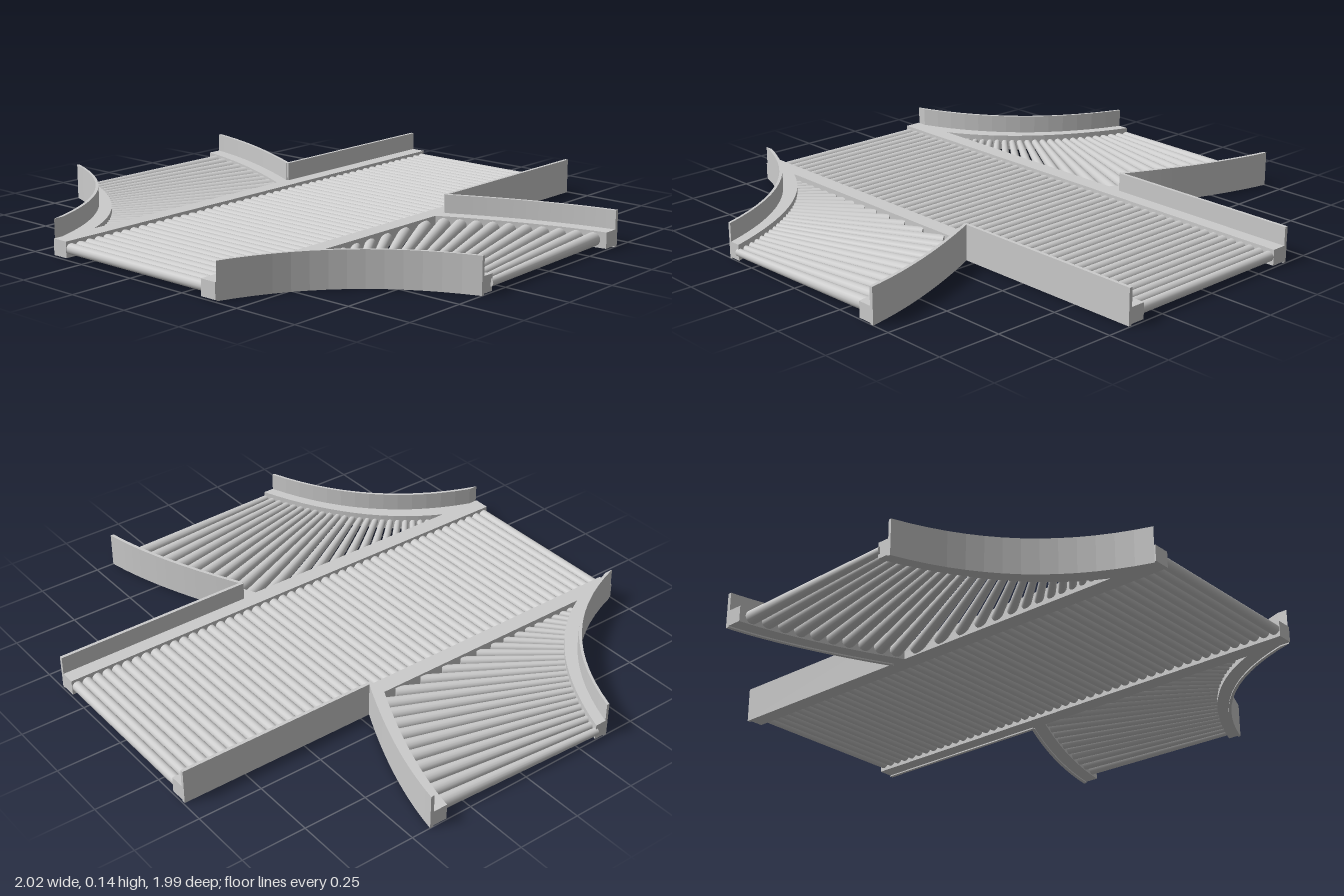
import * as THREE from 'three';

const material = new THREE.MeshStandardMaterial({ color: 0xcccccc });
const RAIL_BASE = 0.005, RAIL_TOP = 0.065, WALL_TOP = 0.135, ROLLER_Y = 0.034;
const HALF_LENGTH = 0.995, RAIL_IN = 0.335, RAIL_OUT = 0.4;

function add(parent, name, geometry) {
  const mesh = new THREE.Mesh(geometry, material);
  mesh.name = name;
  parent.add(mesh);
  return mesh;
}

// box from its minimum and maximum corners
function box(parent, name, x0, x1, y0, y1, z0, z1) {
  add(parent, name, new THREE.BoxGeometry(Math.abs(x1 - x0), y1 - y0, z1 - z0))
    .position.set((x0 + x1) / 2, (y0 + y1) / 2, (z0 + z1) / 2);
}

// sampled curve in plan; each point is (x, z)
function plan(...p) {
  const [a, b, c] = p.map(([x, z]) => new THREE.Vector2(x, z));
  return new THREE.QuadraticBezierCurve(a, b, c).getPoints(14);
}

// z of a sampled curve at a given x
function zAt(points, x) {
  let i = 1;
  while (i < points.length - 1 && points[i].x < x) i++;
  const a = points[i - 1], b = points[i];
  return THREE.MathUtils.mapLinear(x, a.x, b.x, a.y, b.y);
}

// upright band between two plan curves
function band(parent, name, side, outer, inner, y0, y1) {
  const outline = [...outer, ...[...inner].reverse()].map(p => new THREE.Vector2(side * p.x, -p.y));
  const geometry = new THREE.ExtrudeGeometry(new THREE.Shape(outline), { depth: y1 - y0, bevelEnabled: false });
  geometry.rotateX(-Math.PI / 2).translate(0, y0, 0);
  add(parent, name, geometry);
}

// cylinder or cone between two points
function roller(parent, name, from, to, r0, r1) {
  const dir = to.clone().sub(from);
  const mesh = add(parent, name, new THREE.CylinderGeometry(r1, r0, dir.length(), 16));
  mesh.position.copy(from).add(to).multiplyScalar(0.5);
  mesh.quaternion.setFromUnitVectors(new THREE.Vector3(0, 1, 0), dir.normalize());
}

const frontOuter = plan([0.4, 0.99], [0.547, 0.539], [1, 0.38]);
const frontInner = plan([0.4, 0.81], [0.56, 0.487], [1, 0.325]);
const backOuter = plan([0.4, -0.21], [0.74, -0.38], [1, -0.425]);
const backInner = plan([0.4, -0.14], [0.74, -0.31], [1, -0.355]);
const between = (a, b, t) => a.map((p, i) => p.clone().lerp(b[i], t));

// curved side branch with tapered rollers fanning around a common centre
function branch(side) {
  const group = new THREE.Group();
  group.name = side > 0 ? 'leftBranch' : 'rightBranch';
  band(group, 'frontCurvedRail', side, frontOuter, frontInner, RAIL_BASE, RAIL_TOP);
  band(group, 'backCurvedRail', side, backOuter, backInner, RAIL_BASE, RAIL_TOP);
  band(group, 'frontCurvedGuard', side, frontOuter, between(frontOuter, frontInner, 0.2), 0, WALL_TOP);
  band(group, 'backCurvedGuard', side, backOuter, between(backOuter, backInner, 0.2), 0, WALL_TOP);

  const cx = 1.05, cz = 1.17, count = 24, taper = 0.017;
  for (let i = 0; i < count; i++) {
    const angle = THREE.MathUtils.lerp(0.065, 1.02, i / (count - 1));
    const at = d => [cx - d * Math.sin(angle), cz - d * Math.cos(angle)];
    // march outwards from the front rail to the back rail or main rail
    let start = 0.5, end;
    for (; start < 2; start += 0.002) {
      const [x, z] = at(start);
      if (z < zAt(frontInner, x)) break;
    }
    for (end = start; end < 2; end += 0.002) {
      const [x, z] = at(end);
      if (x < RAIL_OUT || z < zAt(backInner, x)) break;
    }
    start -= 0.008;
    end += 0.008;
    const [x0, z0] = at(start), [x1, z1] = at(end);
    roller(group, 'taperedRoller', new THREE.Vector3(side * x0, ROLLER_Y, z0),
      new THREE.Vector3(side * x1, ROLLER_Y, z1), taper * start, taper * end);
  }
  return group;
}

export function createModel() {
  const model = new THREE.Group();
  model.name = 'rollerConveyorJunction';

  // straight main lane
  const lane = new THREE.Group();
  lane.name = 'mainLane';
  model.add(lane);
  const count = 48, pitch = 2 * HALF_LENGTH / count;
  for (let i = 0; i < count; i++) {
    const z = -HALF_LENGTH + (i + 0.5) * pitch;
    roller(lane, 'mainRoller', new THREE.Vector3(-RAIL_IN - 0.005, ROLLER_Y + 0.002, z),
      new THREE.Vector3(RAIL_IN + 0.005, ROLLER_Y + 0.002, z), 0.0195, 0.0195);
  }

  for (const side of [-1, 1]) {
    box(lane, 'mainRail', side * RAIL_IN, side * RAIL_OUT, RAIL_BASE, RAIL_TOP, -HALF_LENGTH, HALF_LENGTH);
    box(lane, 'mainGuard', side * 0.392, side * 0.405, 0, WALL_TOP, -HALF_LENGTH, -0.2);
    model.add(branch(side));
  }
  return model;
}
